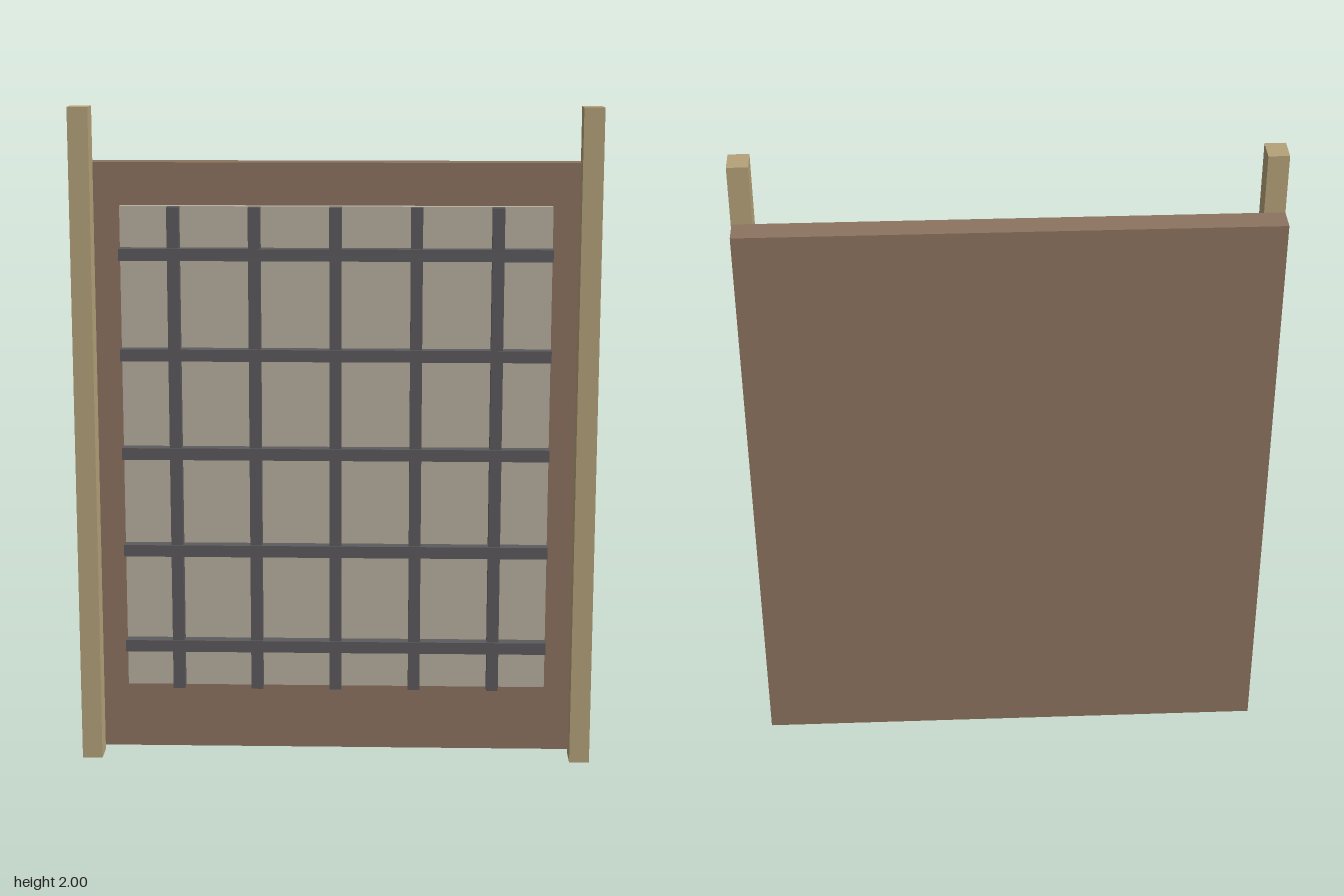
import * as THREE from 'three';

const material = (color) => new THREE.MeshStandardMaterial({ color, flatShading: true });

export function createModel() {
  const model = new THREE.Group();
  const wood = material(0x8d7360);
  const postWood = material(0xb5a27a);
  const paneMat = material(0xbab0a0);
  const iron = material(0x5c5a5e);

  // Box given by its low and high corners
  function box(name, mat, [x0, y0, z0], [x1, y1, z1]) {
    const mesh = new THREE.Mesh(new THREE.BoxGeometry(x1 - x0, y1 - y0, z1 - z0), mat);
    mesh.position.set((x0 + x1) / 2, (y0 + y1) / 2, (z0 + z1) / 2);
    mesh.name = name;
    model.add(mesh);
  }

  // Backing board and the thin pane on its front
  box('backPanel', wood, [-0.779, 0.008, -0.088], [0.779, 1.832, -0.01]);
  box('pane', paneMat, [-0.644, 0.22, -0.012], [0.644, 1.705, 0.02]);

  // Side posts
  box('leftPost', postWood, [0.722, 0, 0.009], [0.783, 2, 0.088]);
  box('rightPost', postWood, [-0.783, 0, 0.009], [-0.722, 2, 0.088]);

  // Lattice: five upright bars crossed by five level bars a little further forward
  const half = 0.018;
  for (let i = -2; i <= 2; i++) {
    const x = i * 0.241;
    const y = 0.961 + i * 0.302;
    box('verticalBar', iron, [x - half, 0.22, 0.023], [x + half, 1.705, 0.061]);
    box('horizontalBar', iron, [-0.644, y - half, 0.029], [0.644, y + half, 0.067]);
  }

  return model;
}
